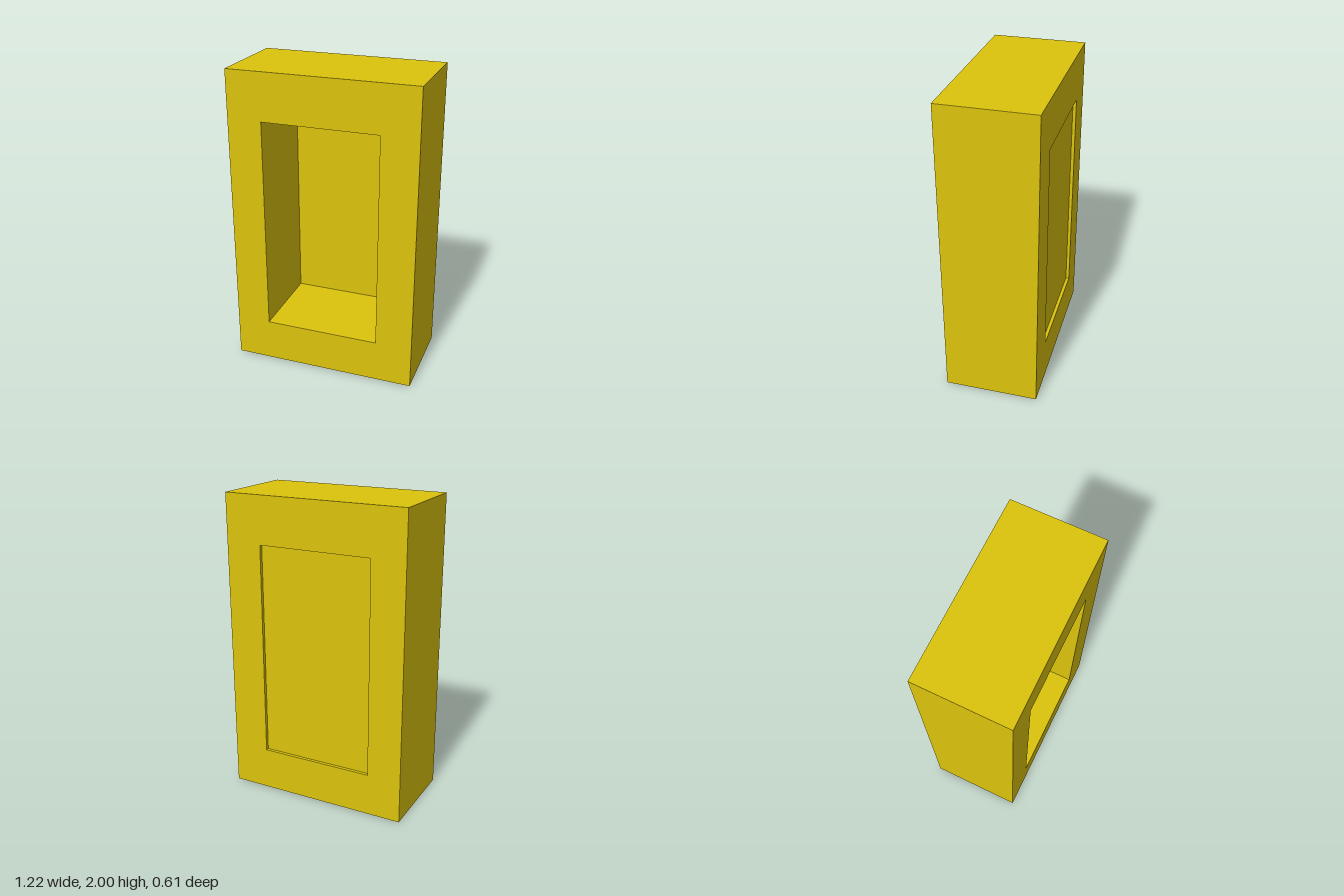
import * as THREE from 'three';

const W = 1.22, H = 2, D = 0.61;
// Opening through the frame
const X0 = -0.385, X1 = 0.37, Y0 = 0.28, Y1 = 1.69;

function rectPoints(x0, y0, x1, y1) {
  return [[x0, y0], [x1, y0], [x1, y1], [x0, y1]].map(([x, y]) => new THREE.Vector2(x, y));
}

export function createModel() {
  const group = new THREE.Group();
  group.name = 'framedBox';
  const material = new THREE.MeshStandardMaterial({ color: 0xdcc40c });

  // Thick frame with a rectangular opening
  const outline = new THREE.Shape(rectPoints(-W / 2, 0, W / 2, H));
  outline.holes.push(new THREE.Path(rectPoints(X0, Y0, X1, Y1)));
  const frameGeometry = new THREE.ExtrudeGeometry(outline, { depth: D, bevelEnabled: false });
  frameGeometry.translate(0, 0, -D / 2);
  const frame = new THREE.Mesh(frameGeometry, material);
  frame.name = 'frame';
  group.add(frame);

  // Thin panel closing the opening, set slightly in from the back
  const panel = new THREE.Mesh(new THREE.BoxGeometry(X1 - X0, Y1 - Y0, 0.02), material);
  panel.name = 'backPanel';
  panel.position.set((X0 + X1) / 2, (Y0 + Y1) / 2, -0.273);
  group.add(panel);

  return group;
}
